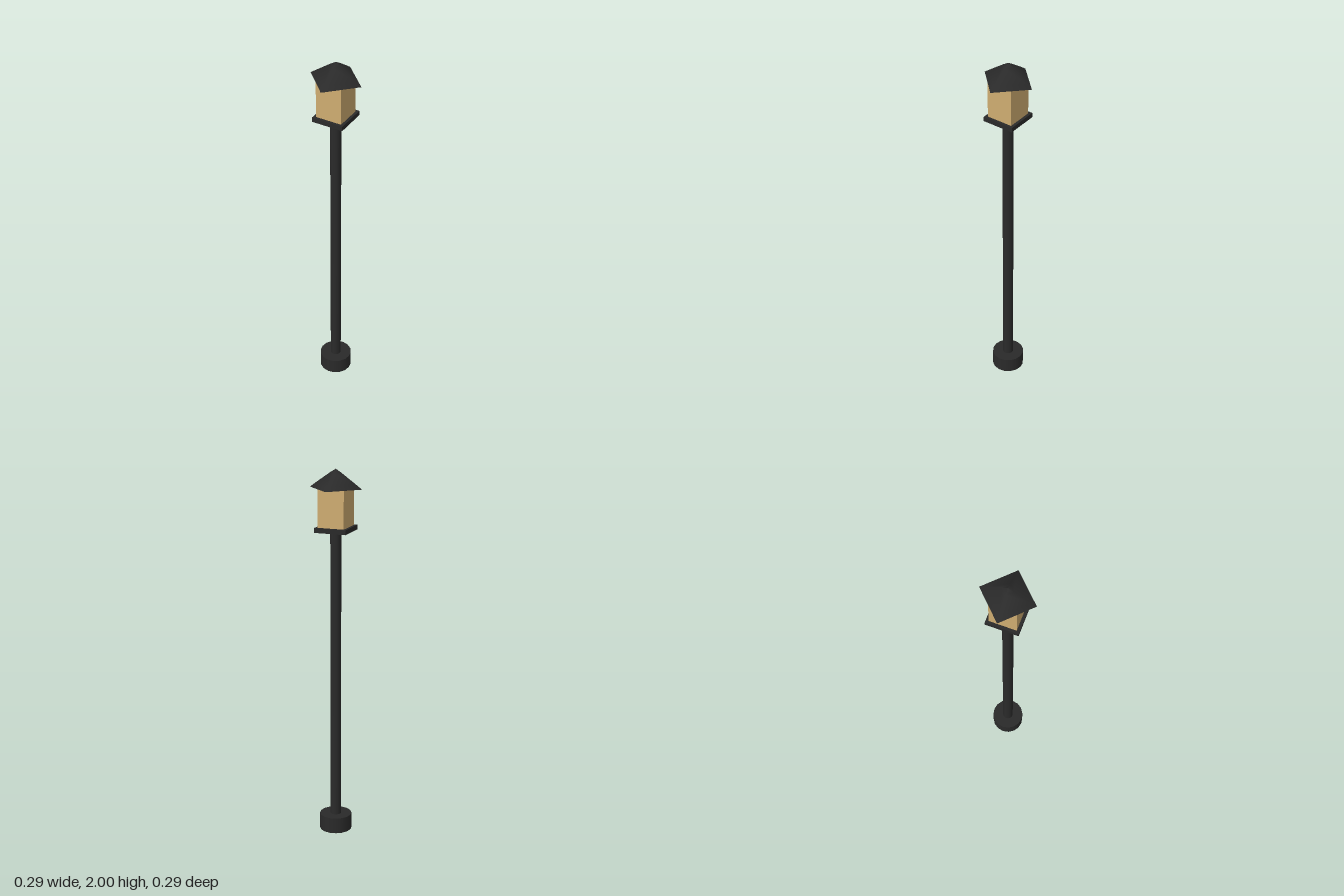
import * as THREE from 'three';

export function createModel() {
  const group = new THREE.Group();
  group.name = 'lampPost';
  const iron = new THREE.MeshStandardMaterial({ name: 'black iron', color: 0x2a2a2a });
  const glass = new THREE.MeshStandardMaterial({ name: 'warm glass', color: 0xcfad71 });

  const add = (name, geometry, material, y) => {
    const mesh = new THREE.Mesh(geometry, material);
    mesh.name = name;
    mesh.position.y = y;
    group.add(mesh);
    return mesh;
  };

  // Round foot and slim post
  add('base', new THREE.CylinderGeometry(0.0875, 0.0875, 0.0875, 16), iron, 0.04375);
  add('post', new THREE.CylinderGeometry(0.029, 0.029, 1.5875, 16), iron, 0.88125);

  // Lantern: square tray and glass block
  add('tray', new THREE.BoxGeometry(0.175, 0.025, 0.175), iron, 1.6875);
  add('lanternGlass', new THREE.BoxGeometry(0.145, 0.2, 0.145), glass, 1.8);

  // Four-sided roof, turned so its corners overhang the glass faces
  const profile = [[0.145, 0], [0.118, 0.02], [0.03, 0.984], [0, 0.1]];
  profile[2][1] = 0.082;
  add('roof', new THREE.LatheGeometry(profile.map(([r, y]) => new THREE.Vector2(r, y)), 4), iron, 1.9);
  const underside = add('roofUnderside', new THREE.CircleGeometry(0.145, 4), iron, 1.9);
  underside.rotation.x = Math.PI / 2;

  return group;
}
